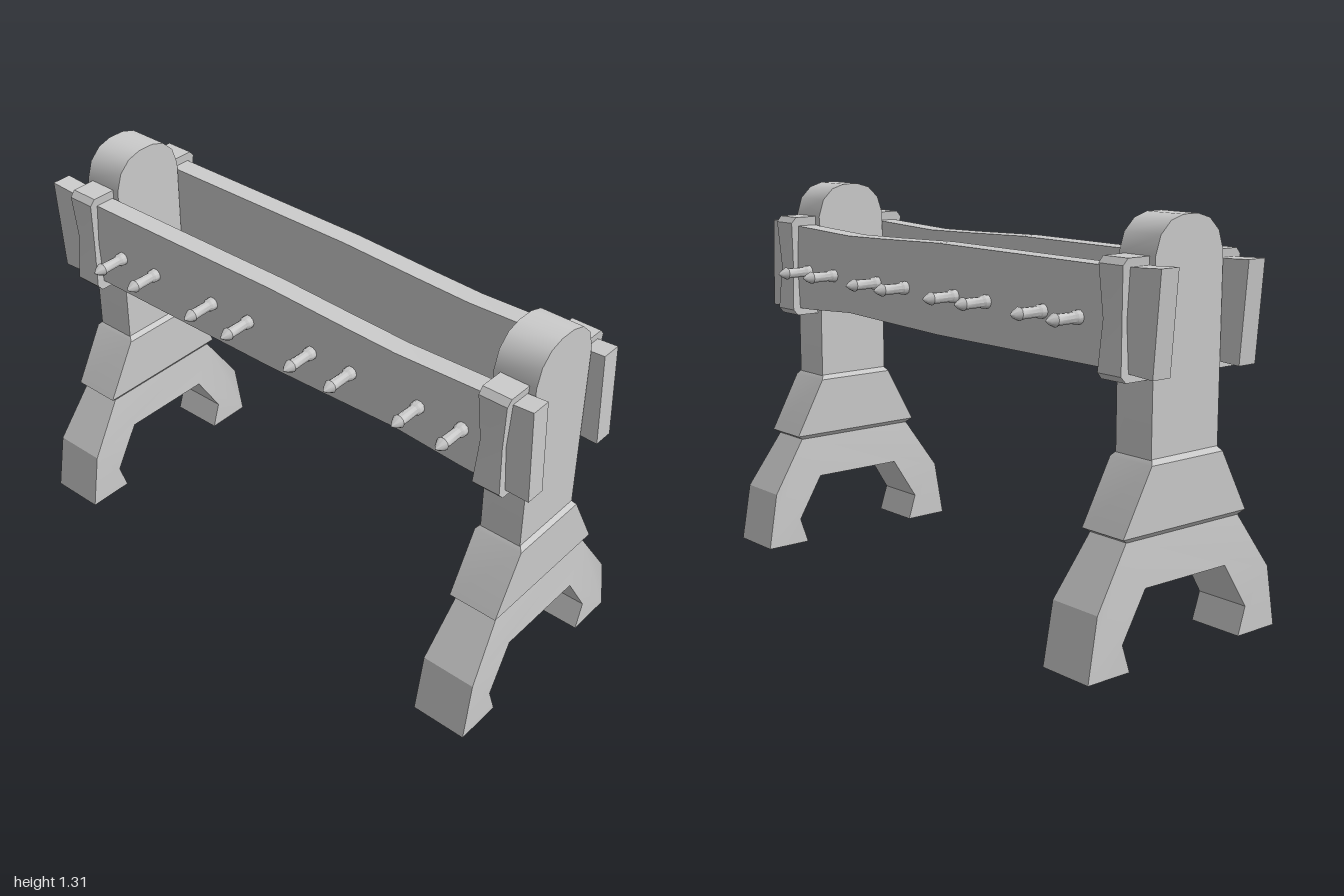
import * as THREE from 'three';
import { toCreasedNormals } from 'three/addons/utils/BufferGeometryUtils.js';

const material = new THREE.MeshStandardMaterial({ color: 0xcccccc, side: THREE.DoubleSide });

function part(name, geometry, crease = 0.5) {
  const mesh = new THREE.Mesh(toCreasedNormals(geometry, crease), material);
  mesh.name = name;
  return mesh;
}

// Closed outline extruded along z, centred on z = 0
function slab(points, depth) {
  const shape = new THREE.Shape(points.map(([x, y]) => new THREE.Vector2(x, y)));
  return new THREE.ExtrudeGeometry(shape, { depth, bevelEnabled: false }).translate(0, 0, -depth / 2);
}

// Adds the mirrored half (right to left) to an outline
const mirrored = (half) => [...half, ...half.map(([x, y]) => [-x, y]).reverse()];

// Scales z of every vertex by a rule of its height
function taperZ(geometry, rule) {
  const p = geometry.attributes.position;
  for (let i = 0; i < p.count; i++) p.setZ(i, p.getZ(i) * rule(p.getY(i)));
  return geometry;
}

// Removes the faces lying on the ground, leaving the feet open below
function openBottom(geometry) {
  const src = geometry.index ? geometry.toNonIndexed() : geometry;
  const p = src.attributes.position;
  const kept = [];
  for (let i = 0; i < p.count; i += 3) {
    if (Math.max(p.getY(i), p.getY(i + 1), p.getY(i + 2)) < 1e-4) continue;
    for (let k = i; k < i + 3; k++) kept.push(p.getX(k), p.getY(k), p.getZ(k));
  }
  const out = new THREE.BufferGeometry();
  out.setAttribute('position', new THREE.Float32BufferAttribute(kept, 3));
  return out;
}

// Rectangular sections [y, halfX, halfZ] joined from bottom to top
function rectLoft(sections) {
  const pos = [], index = [];
  for (const [y, a, b] of sections) pos.push(-a, y, b, a, y, b, a, y, -b, -a, y, -b);
  for (let s = 0; s < sections.length - 1; s++) {
    for (let k = 0; k < 4; k++) {
      const a = s * 4 + k, b = s * 4 + (k + 1) % 4;
      index.push(a, b, b + 4, a, b + 4, a + 4);
    }
  }
  const t = (sections.length - 1) * 4;
  index.push(0, 2, 1, 0, 3, 2, t, t + 1, t + 2, t, t + 2, t + 3);
  const g = new THREE.BufferGeometry();
  g.setAttribute('position', new THREE.Float32BufferAttribute(pos, 3));
  g.setIndex(index);
  return g;
}

function createTrestle() {
  const trestle = new THREE.Group();

  // Upright post with a rounded head
  const post = mirrored([[0.14, 0.58], [0.14, 1.2], [0.12, 1.26], [0.08, 1.298], [0.03, 1.313]]);
  trestle.add(part('post', slab(post, 0.146), 0.65));

  // Flared collar between post and legs
  trestle.add(part('collar', rectLoft([
    [0.385, 0.235, 0.075], [0.4, 0.26, 0.086], [0.6, 0.15, 0.086], [0.615, 0.138, 0.073],
  ]), 0.3));

  // Splayed, hollow-footed legs that thicken towards the ground
  const legs = mirrored([[0.17, 0.24], [0.265, 0.09], [0.235, 0], [0.4, 0], [0.365, 0.2], [0.235, 0.39]]);
  const thickness = (y) => (y < 0.2 ? 0.192 - 0.02 * y : 0.188 - (y - 0.2) * 0.2);
  trestle.add(part('legs', openBottom(taperZ(slab(legs, 1), thickness)), 0.3));

  // Straps clamping the rails, waisted at mid height
  const strap = [[0.125, 0.845], [0.225, 0.845], [0.243, 0.865], [0.233, 1.02],
    [0.243, 1.18], [0.225, 1.2], [0.125, 1.2], [0.125, 1.02]];
  for (const side of [1, -1]) {
    const geometry = taperZ(slab(strap, 0.1), (y) => 0.77 + 1.3 * Math.abs(y - 1.02));
    const mesh = part('strap', geometry, 0.3);
    if (side < 0) mesh.rotation.y = Math.PI;
    trestle.add(mesh);
  }
  return trestle;
}

export function createModel() {
  const model = new THREE.Group();
  const rack = new THREE.Group();
  rack.name = 'rack';
  rack.rotation.y = -0.019;
  model.add(rack);

  // Front and back trestles
  for (const [name, z] of [['frontTrestle', 0.867], ['backTrestle', -0.828]]) {
    const trestle = createTrestle();
    trestle.name = name;
    trestle.position.z = z;
    rack.add(trestle);
  }

  // Gently wavy side rails, outline given as [z, y]
  const railOutline = [
    [-0.972, 0.865], [-0.8, 0.875], [0, 0.873], [0.25, 0.88], [0.5, 0.888], [0.75, 0.872], [0.997, 0.865],
    [0.985, 1.18], [0.8, 1.168], [0.5, 1.157], [0.3, 1.162], [0, 1.172], [-0.8, 1.17], [-0.997, 1.18],
  ];

  // Peg with a flared base ring and a pointed tip
  const pegProfile = [[0.022, -0.02], [0.022, 0.022], [0.017, 0.03], [0.018, 0.09], [0.022, 0.1], [0.012, 0.12], [0, 0.135]]
    .map(([r, y]) => new THREE.Vector2(r, y));
  const pegZ = [0.753, 0.593, 0.333, 0.173, -0.09, -0.25, -0.513, -0.67];

  for (const [name, side] of [['left', 1], ['right', -1]]) {
    const rail = part(name + 'Rail', slab(railOutline, 0.07).rotateY(-Math.PI / 2));
    rail.position.x = side * 0.179;
    rack.add(rail);

    const pegs = new THREE.Group();
    pegs.name = name + 'Pegs';
    for (const z of pegZ) {
      const peg = part('peg', new THREE.LatheGeometry(pegProfile, 10), 0.65);
      peg.rotation.z = -side * Math.PI / 2;
      peg.position.set(side * 0.21, 1.01, z);
      pegs.add(peg);
    }
    rack.add(pegs);
  }
  return model;
}
